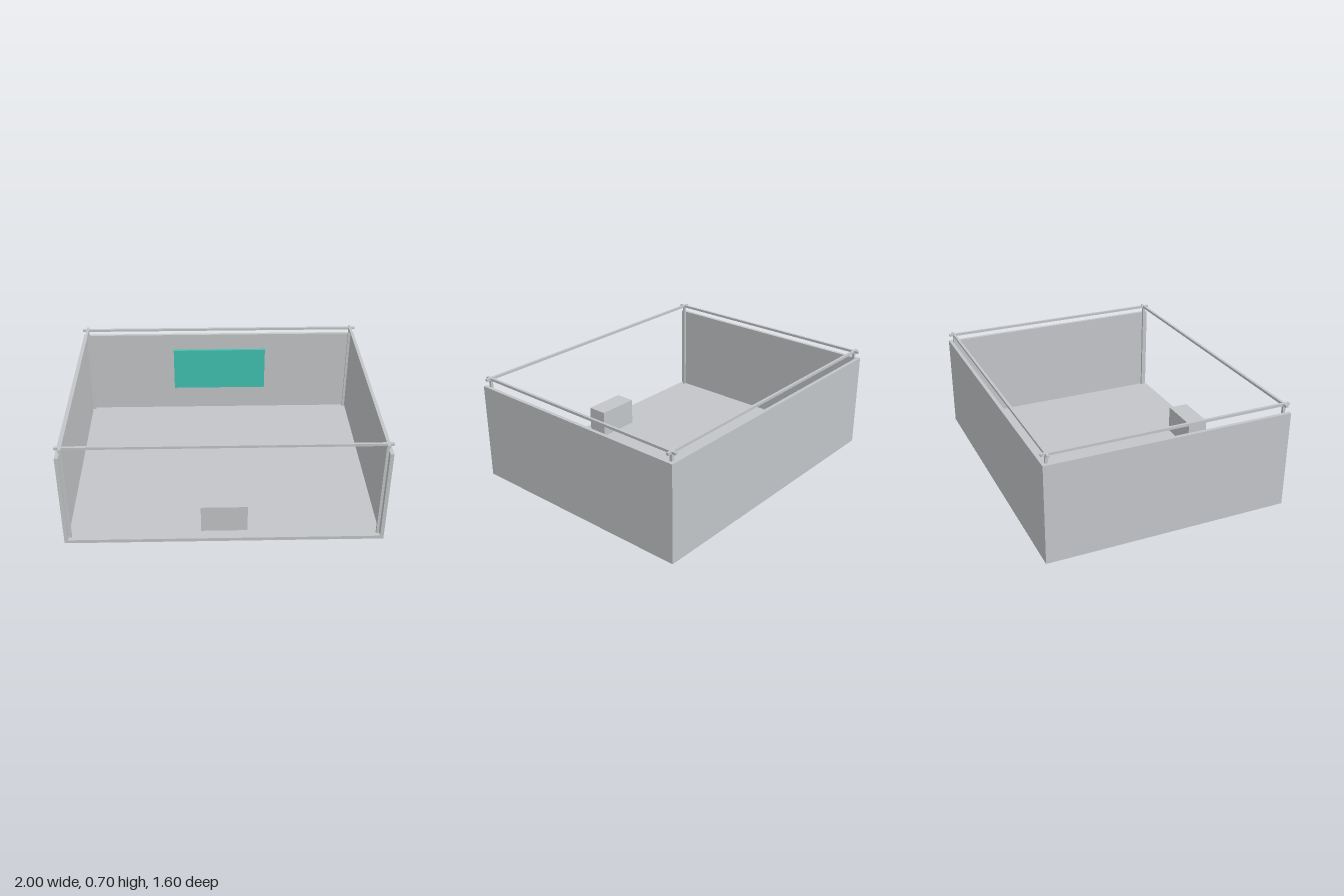
import * as THREE from 'three';

export function createModel() {
  const model = new THREE.Group();
  model.name = 'openBooth';

  const grey = new THREE.MeshStandardMaterial({ color: 0xc2c5c8 });
  grey.name = 'light grey';
  const teal = new THREE.MeshStandardMaterial({ color: 0x41c1b2 });
  teal.name = 'teal';

  // Box given by its minimum and maximum corners
  const addBox = (name, [x0, y0, z0], [x1, y1, z1], material = grey) => {
    const mesh = new THREE.Mesh(new THREE.BoxGeometry(x1 - x0, y1 - y0, z1 - z0), material);
    mesh.position.set((x0 + x1) / 2, (y0 + y1) / 2, (z0 + z1) / 2);
    mesh.name = name;
    model.add(mesh);
  };

  const W = 1, D = 0.8, H = 0.644; // half width, half depth, wall height
  const T = 0.023; // wall and floor thickness
  const px = 0.965, pz = 0.766, r = 0.0085; // frame centre lines and half thickness
  const railBottom = 0.687, railTop = 0.703;

  // Floor and the three walls; the front is open
  addBox('floor', [-W + T, 0, -D + T], [W - T, T, D]);
  addBox('backWall', [-W + T, 0, -D], [W - T, H, -D + T]);
  addBox('leftWall', [W - T, 0, -D], [W, H, D]);
  addBox('rightWall', [-W, 0, -D], [-W + T, H, D]);

  // Corner posts
  for (const sx of [-1, 1]) {
    for (const sz of [-1, 1]) {
      const x = sx * px, z = sz * pz;
      addBox('cornerPost', [x - r, T, z - r], [x + r, railBottom, z + r]);
    }
  }

  // Top rails, crossing past each other at the corners
  for (const s of [-1, 1]) {
    addBox('crossRail', [-W, railBottom, s * pz - r], [W, railTop, s * pz + r]);
    addBox('sideRail', [s * px - r, railBottom, -D], [s * px + r, railTop, D]);
  }

  // Display panel in front of the back wall
  addBox('displayPanel', [-0.34, 0.215, -0.757], [0.34, 0.533, -0.738], teal);

  // Counter near the open front
  addBox('counter', [-0.147, T, 0.588], [0.147, 0.208, 0.727]);

  return model;
}
